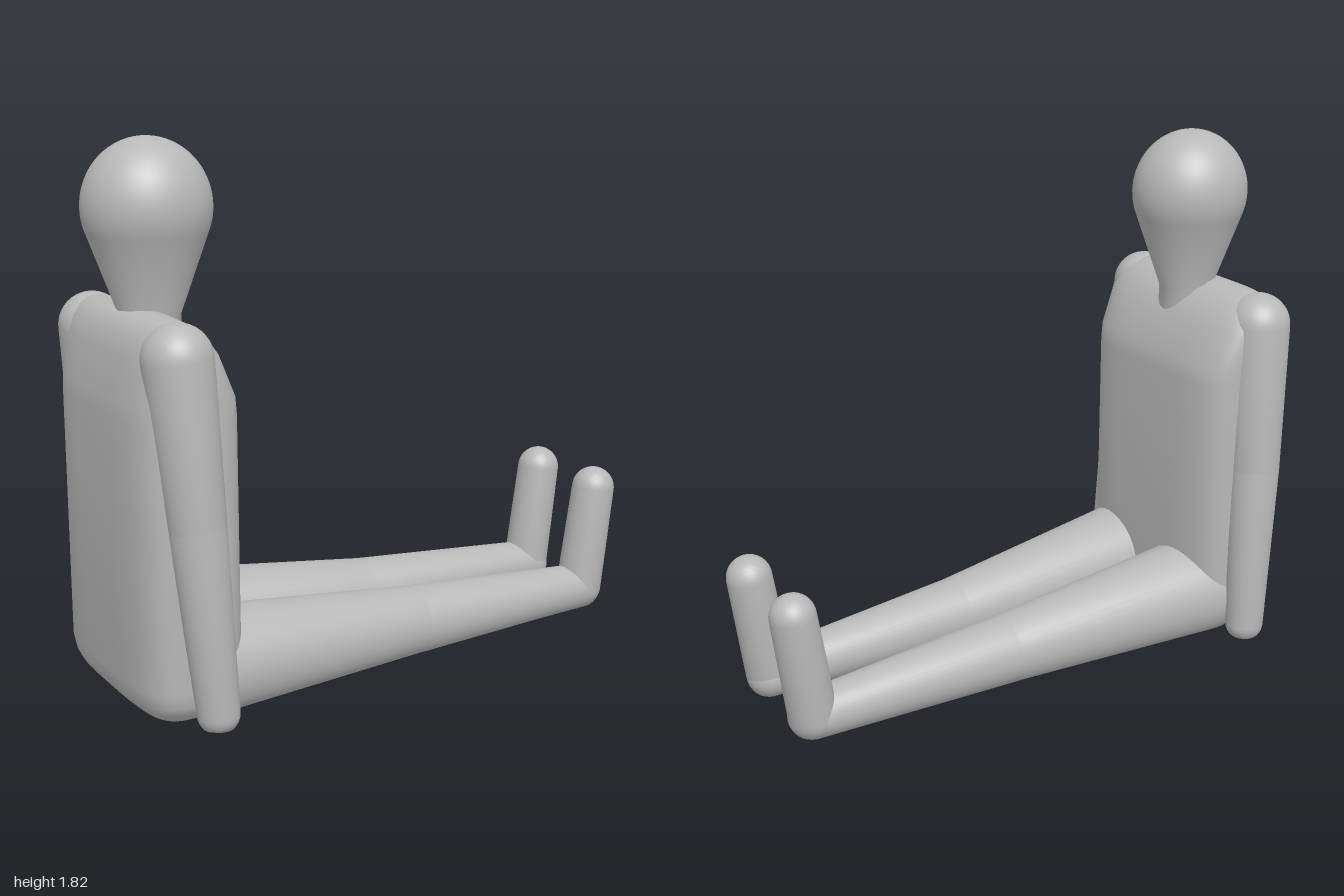
import * as THREE from 'three';
import { toCreasedNormals } from 'three/addons/utils/BufferGeometryUtils.js';

// Flatten everything below the floor, keeping the cut edge sharp
function restOnFloor(geo) {
  const p = geo.attributes.position;
  for (let i = 0; i < p.count; i++) p.setY(i, Math.max(0, p.getY(i)));
  return toCreasedNormals(geo, 0.6);
}

// Tapered round-ended limb between two points
function limbGeometry(a, b, ra, rb) {
  const start = new THREE.Vector3(...a);
  const dir = new THREE.Vector3(...b).sub(start);
  const len = dir.length();
  const tilt = Math.asin((ra - rb) / len);
  const profile = [];
  const n = 10;
  for (let i = 0; i <= n; i++) {
    const t = -Math.PI / 2 + (i / n) * (Math.PI / 2 + tilt);
    profile.push(new THREE.Vector2(Math.max(0, ra * Math.cos(t)), ra * Math.sin(t)));
  }
  for (let i = 0; i <= n; i++) {
    const t = tilt + (i / n) * (Math.PI / 2 - tilt);
    profile.push(new THREE.Vector2(Math.max(0, rb * Math.cos(t)), len + rb * Math.sin(t)));
  }
  const geo = new THREE.LatheGeometry(profile, 40);
  geo.applyQuaternion(new THREE.Quaternion().setFromUnitVectors(
    new THREE.Vector3(0, 1, 0), dir.normalize()));
  geo.translate(...a);
  return restOnFloor(geo);
}

// Torso lofted from rounded-rectangle sections: [y, back x, front x, half width]
function torsoGeometry() {
  const sections = [
    [0, -0.945, -0.66, 0.33], [0.03, -0.975, -0.635, 0.36], [0.06, -0.99, -0.625, 0.375],
    [0.11, -1, -0.62, 0.38], [0.97, -1, -0.62, 0.38], [1.03, -0.997, -0.625, 0.38],
    [1.17, -0.967, -0.69, 0.385], [1.22, -0.95, -0.725, 0.37], [1.255, -0.925, -0.765, 0.34],
    [1.275, -0.895, -0.805, 0.30], [1.28, -0.865, -0.835, 0.27],
  ];
  const n = 64, pos = [], idx = [];
  const round = (v) => Math.sign(v) * Math.pow(Math.abs(v), 0.5);
  for (const [y, x0, x1, hz] of sections) {
    for (let i = 0; i < n; i++) {
      const t = (i / n) * Math.PI * 2;
      pos.push((x0 + x1) / 2 + round(Math.cos(t)) * (x1 - x0) / 2, y, round(Math.sin(t)) * hz);
    }
  }
  const last = sections.length - 1;
  for (let s = 0; s < last; s++) {
    for (let i = 0; i < n; i++) {
      const a = s * n + i, b = s * n + (i + 1) % n;
      idx.push(a, a + n, b, b, a + n, b + n);
    }
  }
  // bottom and top caps
  const c = pos.length / 3;
  pos.push(-0.8, 0, 0, -0.85, 1.28, 0);
  for (let i = 0; i < n; i++) {
    const j = (i + 1) % n;
    idx.push(c, i, j, c + 1, last * n + j, last * n + i);
  }
  const geo = new THREE.BufferGeometry();
  geo.setAttribute('position', new THREE.Float32BufferAttribute(pos, 3));
  geo.setIndex(idx);
  return toCreasedNormals(geo, 0.6);
}

// Egg-shaped head running down into the neck
function headGeometry() {
  const pts = [new THREE.Vector2(0, 1.1), new THREE.Vector2(0.1, 1.1), new THREE.Vector2(0.1, 1.25)];
  const low = -0.42;
  for (let i = 0; i <= 24; i++) {
    const t = low + (i / 24) * (Math.PI / 2 - low);
    pts.push(new THREE.Vector2(Math.max(0, 0.211 * Math.cos(t)), 1.595 + 0.22 * Math.sin(t)));
  }
  const geo = new THREE.LatheGeometry(pts, 56);
  geo.scale(1, 1, 0.935);
  geo.translate(-0.79, 0, 0);
  return toCreasedNormals(geo, 0.6);
}

export function createModel() {
  const model = new THREE.Group();
  model.name = 'seatedFigure';
  const grey = new THREE.MeshStandardMaterial({ color: 0xb8b8b8 });
  grey.name = 'grey';

  const add = (name, geo, parent = model) => {
    const mesh = new THREE.Mesh(geo, grey);
    mesh.name = name;
    parent.add(mesh);
  };

  add('torso', torsoGeometry());
  add('head', headGeometry());

  // Arms and legs on both sides
  for (const s of [1, -1]) {
    const side = s > 0 ? 'right' : 'left';
    const arm = new THREE.Group();
    arm.name = side + 'Arm';
    add('upperArm', limbGeometry([-0.853, 1.17, s * 0.33], [-0.825, 0.65, s * 0.382], 0.113, 0.092), arm);
    add('forearm', limbGeometry([-0.825, 0.65, s * 0.382], [-0.786, 0.045, s * 0.422], 0.092, 0.069), arm);

    const leg = new THREE.Group();
    leg.name = side + 'Leg';
    add('thigh', limbGeometry([-0.72, 0.122, s * 0.202], [0.1, 0.087, s * 0.172], 0.187, 0.124), leg);
    add('shin', limbGeometry([0.1, 0.087, s * 0.172], [0.868, 0.066, s * 0.162], 0.124, 0.083), leg);
    add('foot', limbGeometry([0.868, 0.07, s * 0.165], [0.922, 0.45, s * 0.167], 0.083, 0.078), leg);
    model.add(arm, leg);
  }
  return model;
}
